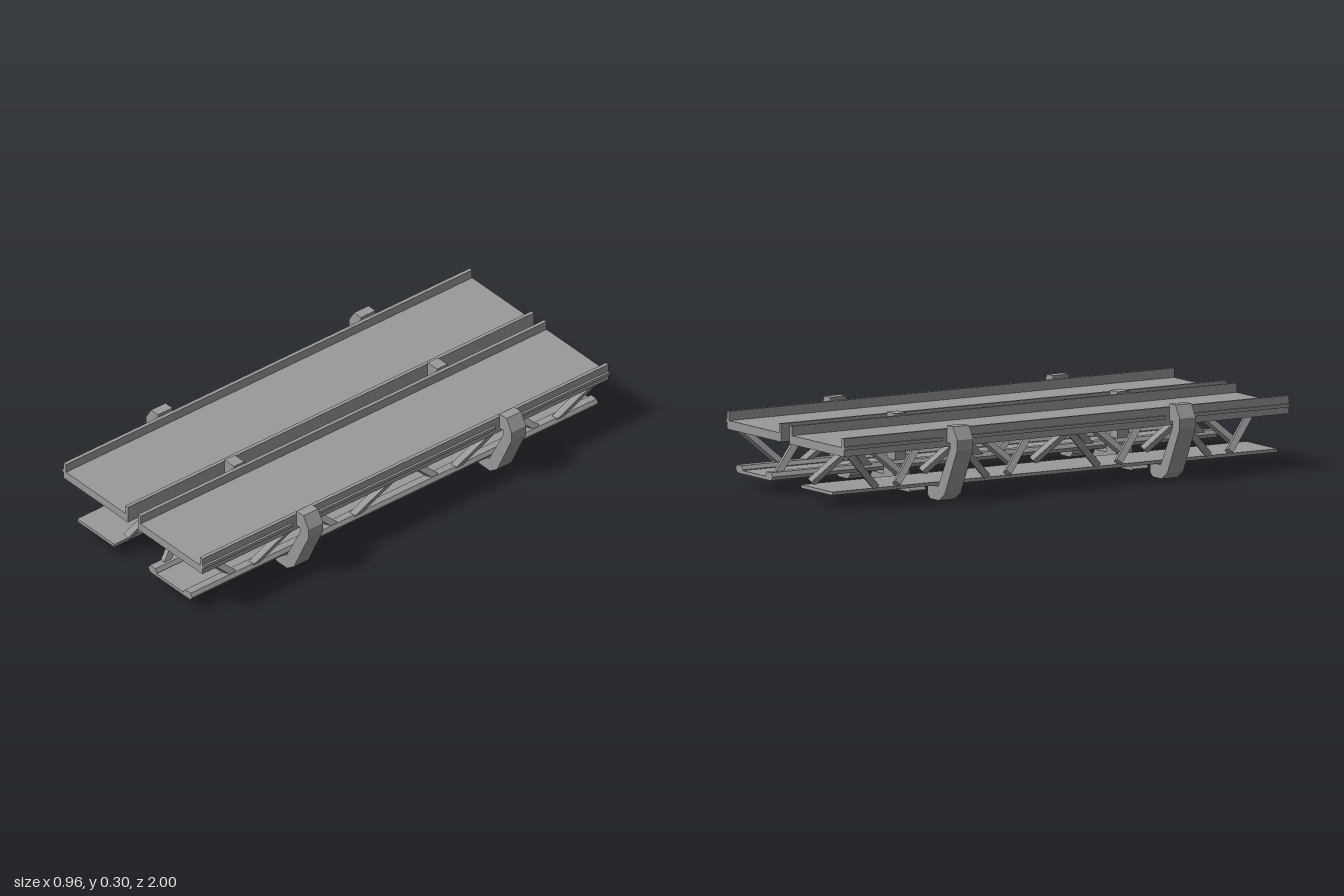
import * as THREE from 'three';

export function createModel() {
  const model = new THREE.Group();
  model.name = 'trussBridge';
  const steel = new THREE.MeshStandardMaterial({ color: 0x999999 });
  steel.name = 'grey steel';

  const add = (geometry, name, parent) => {
    const mesh = new THREE.Mesh(geometry, steel);
    mesh.name = name;
    parent.add(mesh);
    return mesh;
  };

  // Box given by its limits on each axis
  const box = (name, parent, x0, x1, y0, y1, z0, z1) =>
    add(new THREE.BoxGeometry(x1 - x0, y1 - y0, z1 - z0), name, parent)
      .position.set((x0 + x1) / 2, (y0 + y1) / 2, (z0 + z1) / 2);

  // Cross-section in x and y, extruded along z around a centre
  const prism = (name, parent, points, depth, z = 0) => {
    const shape = new THREE.Shape(points.map(([x, y]) => new THREE.Vector2(x, y)));
    const geometry = new THREE.ExtrudeGeometry(shape, { depth, bevelEnabled: false });
    geometry.translate(0, 0, z - depth / 2);
    return add(geometry, name, parent);
  };

  // Square bar between two points, with two sides kept parallel to the z axis view
  const bar = (name, parent, a, b, size) => {
    const dir = b.clone().sub(a);
    const length = dir.length();
    dir.normalize();
    const u = dir.clone().cross(new THREE.Vector3(0, 0, 1)).normalize();
    const v = u.clone().cross(dir);
    const mesh = add(new THREE.BoxGeometry(size, length, size), name, parent);
    mesh.quaternion.setFromRotationMatrix(new THREE.Matrix4().makeBasis(u, dir, v));
    mesh.position.copy(a).add(b).multiplyScalar(0.5);
  };

  // Diagonal planes: top x, bottom x, first z centre, sign of the lean along z
  const braces = [
    [0.383, 0.329, 0.61, -1],
    [0.253, 0.329, 0.86, 1],
    [0.183, 0.120, 0.61, 1],
    [0.055, 0.112, 0.86, -1],
  ];

  for (const side of [1, -1]) {
    const lane = new THREE.Group();
    lane.name = side > 0 ? 'leftLane' : 'rightLane';
    model.add(lane);
    const m = (x0, x1) => (side > 0 ? [x0, x1] : [-x1, -x0]);
    const mirror = (points) => points.map(([x, y]) => [side * x, y]);

    // Deck with raised kerbs on both edges
    prism('deck', lane, mirror([
      [0.03, 0.213], [0.411, 0.213], [0.411, 0.283], [0.396, 0.283],
      [0.396, 0.247], [0.045, 0.247], [0.045, 0.283], [0.03, 0.283],
    ]), 2);

    // Outer ledge, interrupted at the clamps
    for (const [z0, z1] of [[-1, -0.56], [-0.44, 0.44], [0.56, 1]])
      box('ledge', lane, ...m(0.409, 0.42), 0.239, 0.252, z0, z1);

    // Lower plate and its two chords
    box('lowerPlate', lane, ...m(0.11, 0.33), 0.055, 0.068, -1, 1);
    for (const x of [0.325, 0.116])
      prism('lowerChord', lane, [
        [x - 0.026, 0.071], [x - 0.016, 0.056], [x + 0.016, 0.056],
        [x + 0.026, 0.071], [x + 0.016, 0.086], [x - 0.016, 0.086],
      ], 2);

    // Zigzag bars between chords and deck
    for (const [top, bottom, start, lean] of braces)
      for (let i = 0; i < 4; i++) {
        const z = start - i * 0.498;
        bar('brace', lane,
          new THREE.Vector3(side * bottom, 0.075, z - lean * 0.077),
          new THREE.Vector3(side * top, 0.218, z + lean * 0.077), 0.026);
      }

    // Hooked clamps gripping the outer edge
    for (const z of [0.5, -0.5])
      prism('clamp', lane, mirror([
        [0.411, 0.296], [0.452, 0.296], [0.482, 0.247], [0.482, 0.208],
        [0.395, 0.029], [0.354, 0], [0.292, 0], [0.274, 0.014],
        [0.274, 0.053], [0.348, 0.053], [0.432, 0.21], [0.432, 0.23], [0.411, 0.23],
      ]), 0.072, z);
  }

  // Central supports between the lanes
  for (const z of [0.5, -0.5]) {
    const support = new THREE.Group();
    support.name = 'centreSupport';
    model.add(support);
    prism('supportFoot', support, [
      [-0.116, 0.053], [-0.15, 0.011], [-0.142, 0.005], [-0.078, 0.005],
      [-0.065, 0.012], [0.065, 0.012], [0.078, 0.005], [0.142, 0.005],
      [0.15, 0.011], [0.116, 0.053],
    ], 0.072, z);
    prism('supportSocket', support, [
      [-0.038, 0.05], [0.038, 0.05], [0.038, 0.099], [0.028, 0.112],
      [-0.028, 0.112], [-0.038, 0.099],
    ], 0.072, z);
    box('supportPost', support, -0.028, 0.028, 0.1, 0.29, z - 0.025, z + 0.025);
  }

  return model;
}
